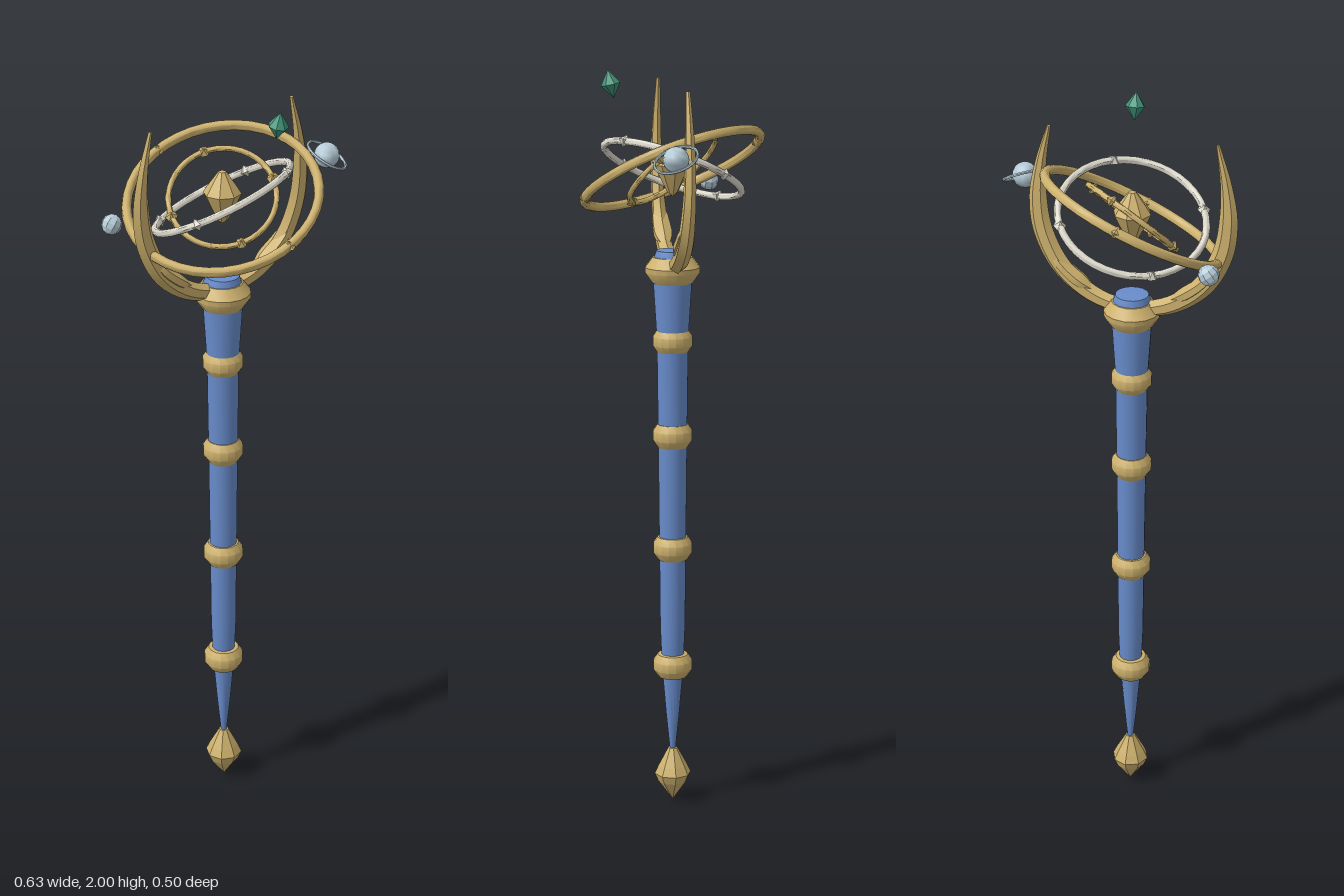
import * as THREE from 'three';
import { toCreasedNormals } from 'three/addons/utils/BufferGeometryUtils.js';

const V = (x, y, z = 0) => new THREE.Vector3(x, y, z);
const AXIS = -0.038; // x of the staff
const HUB = V(AXIS, 1.737, 0); // centre of the rings

function material(name, color) {
  const m = new THREE.MeshStandardMaterial({ color });
  m.name = name;
  return m;
}

function lathe(points, sides) {
  return new THREE.LatheGeometry(points.map(([r, y]) => new THREE.Vector2(r, y)), sides);
}

// Tapered six-sided bar swept along a path in the xy plane.
// Each station is [x, y, half width, half depth].
function sweep(stations, steps) {
  const path = new THREE.CatmullRomCurve3(stations.map((s) => V(s[0], s[1])));
  const size = new THREE.CatmullRomCurve3(stations.map((s) => V(s[2], s[3])));
  const section = [[1, 0], [0.45, 1], [-0.45, 1], [-1, 0], [-0.45, -1], [0.45, -1]];
  const n = section.length, pos = [], index = [];
  for (let i = 0; i <= steps; i++) {
    const p = path.getPoint(i / steps), t = path.getTangent(i / steps), s = size.getPoint(i / steps);
    for (const [a, b] of section) pos.push(p.x - t.y * a * s.x, p.y + t.x * a * s.x, b * s.y);
    if (i === steps) break;
    for (let j = 0; j < n; j++) {
      const a = i * n + j, b = i * n + (j + 1) % n;
      index.push(a, b, a + n, b, b + n, a + n);
    }
  }
  const last = steps * n;
  for (let j = 1; j < n - 1; j++) index.push(0, j + 1, j, last, last + j, last + j + 1);
  const g = new THREE.BufferGeometry();
  g.setAttribute('position', new THREE.Float32BufferAttribute(pos, 3));
  g.setIndex(index);
  return g;
}

export function createModel() {
  const root = new THREE.Group();
  root.name = 'staff';
  const gold = material('gold', 0xcdb16d);
  const blue = material('blue', 0x688ccb);
  const silver = material('silver', 0xdedacd);
  const teal = material('teal', 0x3f9478);
  const pale = material('paleBlue', 0xb6ccd8);

  function add(name, geometry, mat, at, crease = 0.6, parent = root) {
    const mesh = new THREE.Mesh(toCreasedNormals(geometry, crease), mat);
    mesh.name = name;
    mesh.position.copy(at);
    parent.add(mesh);
    return mesh;
  }

  // Shaft, tapering to the foot and flaring to the top
  add('shaft', lathe([[0, 0.13], [0.007, 0.14], [0.018, 0.25], [0.029, 0.38], [0.034, 0.5], [0.036, 0.72],
    [0.039, 1.03], [0.042, 1.29], [0.052, 1.45], [0.052, 1.5], [0.043, 1.525], [0, 1.527]], 16), blue, V(AXIS, 0));

  // Bands and top collar
  for (const y of [0.39, 0.72, 1.03, 1.285]) {
    add('band', lathe([[0.03, -0.034], [0.039, -0.033], [0.053, -0.012], [0.053, 0.012], [0.041, 0.03], [0.03, 0.031]], 16),
      gold, V(AXIS, y));
  }
  add('collar', lathe([[0.045, -0.034], [0.053, -0.034], [0.073, -0.005], [0.073, 0.008], [0.053, 0.035], [0.045, 0.035]], 16),
    gold, V(AXIS, 1.473));

  // Foot finial and the spindle at the centre of the rings
  add('footFinial', lathe([[0, 0], [0.04, 0.055], [0.05, 0.078], [0.04, 0.1], [0.013, 0.15], [0, 0.15]], 8),
    gold, V(AXIS, 0), 0.05);
  add('spindle', lathe([[0, -0.07], [0.014, -0.06], [0.038, -0.012], [0.049, 0.012], [0.036, 0.032], [0.01, 0.068], [0, 0.07]], 8),
    gold, HUB, 0.05);

  // Crescent: half profile mirrored into one bar from tip to tip
  const half = [[0.1, -0.229, 0.024, 0.019], [0.186, -0.163, 0.027, 0.018], [0.235, -0.07, 0.027, 0.015],
    [0.248, 0.02, 0.024, 0.013], [0.24, 0.115, 0.015, 0.01], [0.217, 0.218, 0.005, 0.005]];
  const mirrored = half.map(([x, y, w, d]) => [-x, y, w, d]).reverse();
  add('crescent', sweep([...mirrored, [0, -0.25, 0.021, 0.017], ...half], 56), gold, HUB, 0.4);

  // Leaf ridges low on each arm
  const leaf = [[0.09, -0.222, 0.003, 0.004], [0.145, -0.188, 0.019, 0.024],
    [0.19, -0.15, 0.017, 0.021], [0.226, -0.1, 0.003, 0.003]];
  for (const side of [-1, 1]) {
    const stations = leaf.map(([x, y, w, d]) => [side * x, y, w, d]);
    add('leaf', sweep(stations, 12), gold, HUB, 0.4);
  }

  // Tilted rings with faceted beads
  function ring(name, radius, tube, normal, mat, beads, beadSize) {
    const g = new THREE.Group();
    g.name = name;
    g.position.copy(HUB);
    root.add(g);
    const hoop = add(name + 'Hoop', new THREE.TorusGeometry(radius, tube, 8, 40), mat, V(0, 0), 1);
    g.add(hoop);
    const n = normal.clone().normalize();
    hoop.quaternion.setFromUnitVectors(V(0, 0, 1), n);
    for (const [x, z] of beads) {
      const p = V(x, -(n.x * x + n.z * z) / n.y, z).setLength(radius);
      const bead = add(name + 'Bead', lathe([[0, -beadSize], [beadSize, 0], [0, beadSize]], 6), mat, p, 0.05, g);
      bead.quaternion.setFromUnitVectors(V(0, 1, 0), n);
    }
  }
  ring('outerRing', 0.243, 0.013, V(-0.375, 0.881, 0.288), gold, [[-0.031, -0.234], [0.031, 0.234]], 0.018);
  ring('middleRing', 0.188, 0.0098, V(-0.265, 0.892, -0.368), silver,
    [[-0.093, -0.14], [0.155, -0.107], [0.093, 0.14], [-0.155, 0.105]], 0.017);
  ring('innerRing', 0.136, 0.0078, V(-0.458, 0.731, 0.505), gold,
    [[0.02, -0.105], [-0.121, -0.052], [0.121, 0.052], [-0.02, 0.105]], 0.016);

  // Floating gem
  const gem = add('gem', lathe([[0, -0.037], [0.026, 0], [0, 0.037]], 7), teal, V(0.007, 1.963, 0.168), 0.05);
  gem.rotation.x = 0.22;

  // Floating orb with its hoop
  const orbAt = V(0.26, 1.795, 0.045);
  add('ringedOrb', new THREE.SphereGeometry(0.033, 14, 10), pale, orbAt, 0.8);
  const orbHoop = add('orbHoop', new THREE.TorusGeometry(0.056, 0.004, 6, 32), pale, orbAt, 1.1);
  orbHoop.quaternion.setFromUnitVectors(V(0, 0, 1), V(0.36, 0.86, 0.36).normalize());

  // Small faceted orb
  const small = add('smallOrb', new THREE.SphereGeometry(0.027, 9, 6), pale, V(-0.277, 1.676, -0.143), 0.05);
  small.rotation.set(0.3, 0.4, -0.7);

  return root;
}
